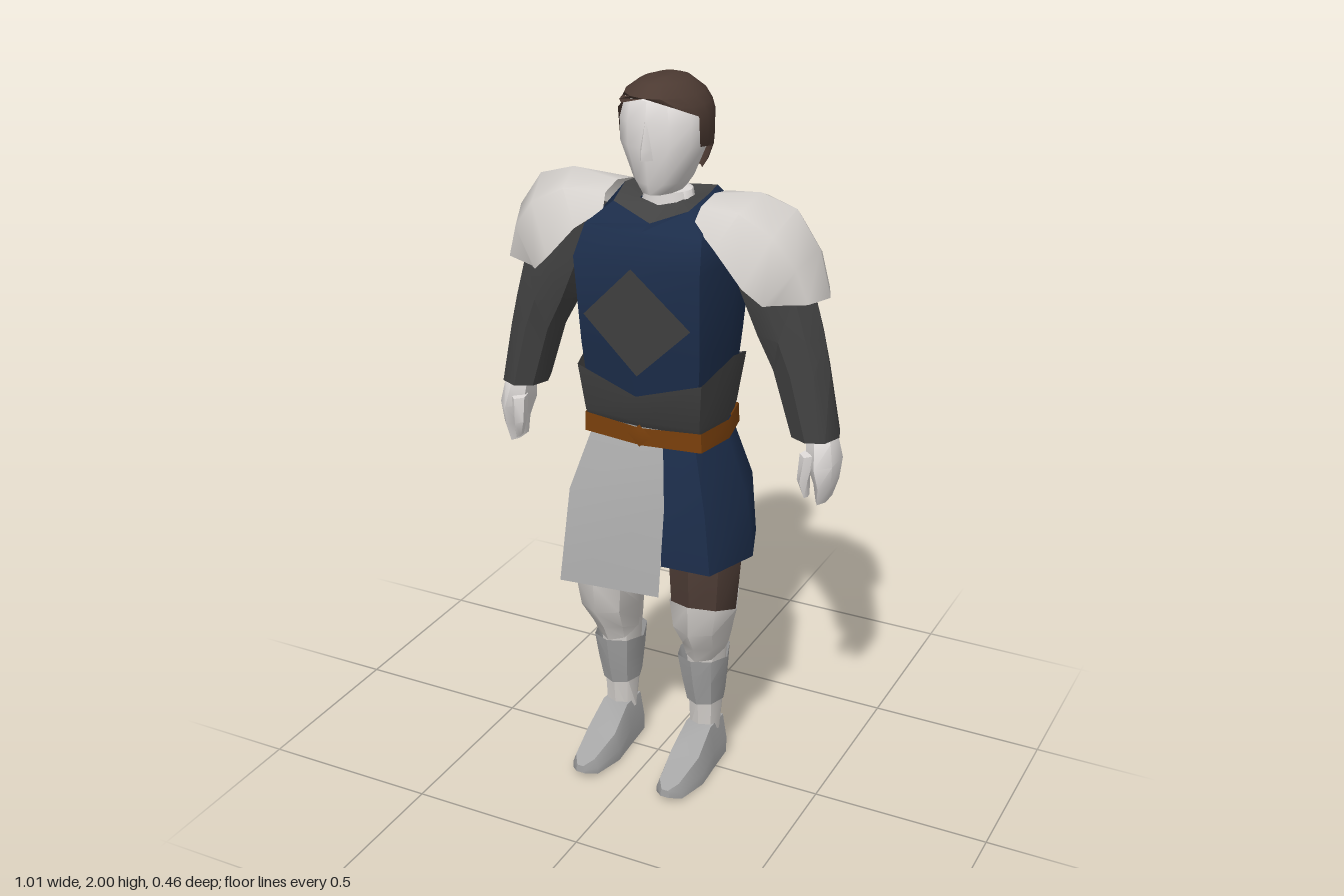
import * as THREE from 'three';
import { toCreasedNormals } from 'three/addons/utils/BufferGeometryUtils.js';

const mat = (name, color) => new THREE.MeshStandardMaterial({ name, color, side: THREE.DoubleSide });

// Skins rings of [x, y, z] points; rings rise while points run front, +x, back, -x
function loft(rings, { open = false, capEnd = false, capStart = false, crease = 0.75 } = {}) {
  const n = rings[0].length, idx = [], pos = rings.flat(2);
  for (let r = 0; r < rings.length - 1; r++) {
    for (let i = 0; i < (open ? n - 1 : n); i++) {
      const a = r * n + i, b = r * n + (i + 1) % n;
      idx.push(a, b, b + n, a, b + n, a + n);
    }
  }
  const last = (rings.length - 1) * n;
  for (let i = 1; i < n - 1; i++) {
    if (capStart) idx.push(0, i + 1, i);
    if (capEnd) idx.push(last, last + i, last + i + 1);
  }
  const g = new THREE.BufferGeometry();
  g.setAttribute('position', new THREE.Float32BufferAttribute(pos, 3));
  g.setIndex(idx);
  return toCreasedNormals(g, crease);
}

// Mirror across x = 0 and restore the winding
function mirror(geo) {
  const g = geo.clone().scale(-1, 1, 1);
  for (const key of ['position', 'normal']) {
    const a = g.attributes[key];
    for (let i = 0; i < a.count; i += 3) {
      const p = [a.getX(i + 1), a.getY(i + 1), a.getZ(i + 1)];
      a.setXYZ(i + 1, a.getX(i + 2), a.getY(i + 2), a.getZ(i + 2));
      a.setXYZ(i + 2, ...p);
    }
  }
  return g;
}

// Rounded ring; gap leaves the front open, wave lifts the front and back
function oval(y, cx, rx, zf, zb, { n = 8, gap = null, wave = 0 } = {}) {
  const a0 = gap ?? 0, count = gap === null ? n : n + 1;
  return Array.from({ length: count }, (_, i) => {
    const t = a0 + (2 * Math.PI - 2 * a0) * i / n;
    return [cx + rx * Math.sin(t), y + wave * Math.abs(Math.cos(t)),
      (zf + zb) / 2 + (zf - zb) / 2 * Math.cos(t)];
  });
}

// Eight-sided body ring; y may be [front, corner, side, back corner, back]
function body(y, w, zf, zb) {
  const ys = Array.isArray(y) ? y : Array(5).fill(y);
  const half = [[0, ys[0], zf], [w * 0.88, ys[1], zf * 0.87], [w, ys[2], (zf + zb) / 2],
    [w * 0.88, ys[3], zb * 0.87], [0, ys[4], zb]];
  return [...half, ...half.slice(1, 4).reverse().map(([x, h, z]) => [-x, h, z])];
}

// Half a skirt ring, from the split line round one side
function skirtHalf(y, side, split, w, zf, zb) {
  const p = [[split, y, zf], [side * w * 0.8, y, zf * 0.95], [side * w, y, (zf + zb) / 2],
    [side * w * 0.8, y, zb * 0.9], [split, y, zb]];
  return side > 0 ? p : p.reverse();
}

export function createModel() {
  const skin = mat('skin', 0xe2dedc), steel = mat('polished steel', 0xd4d0cc);
  const greaveGrey = mat('greave grey', 0xa6a6a6), cloth = mat('pale cloth', 0xadadad);
  const navy = mat('navy cloth', 0x1c2d4a), dark = mat('dark mail', 0x424242);
  const hairBrown = mat('hair brown', 0x4c3a32), trouser = mat('trouser brown', 0x4c3b34);
  const leather = mat('belt leather', 0x7a400c);

  const model = new THREE.Group();
  model.name = 'knight';
  const add = (name, geo, material) => {
    const m = new THREE.Mesh(geo, material);
    m.name = name;
    model.add(m);
  };
  const pair = (name, geo, material) => {
    add(name + 'Left', geo, material);
    add(name + 'Right', mirror(geo), material);
  };

  // Head, neck and nose
  add('head', loft([[1.60, 0.085, 0, -0.13], [1.70, 0.066, 0, -0.12], [1.705, 0.05, 0.05, -0.12],
    [1.735, 0.073, 0.062, -0.13], [1.83, 0.115, 0.074, -0.15], [1.89, 0.117, 0.074, -0.155],
    [1.95, 0.1, 0.066, -0.15], [1.98, 0.06, 0.02, -0.1]]
    .map(([y, w, f, b]) => oval(y, 0, w, f, b, { n: 12 })), { capEnd: true, crease: 0.9 }), skin);
  add('nose', loft([[[0, 1.805, 0.098], [0.02, 1.8, 0.062], [-0.02, 1.8, 0.062]],
    [[0, 1.83, 0.096], [0.018, 1.83, 0.066], [-0.018, 1.83, 0.066]],
    [[0, 1.9, 0.074], [0.008, 1.9, 0.066], [-0.008, 1.9, 0.066]]], { capStart: true }), skin);

  // Hair shell, open over the face
  add('hair', loft([[1.75, 0.09, 0.07, -0.152, 2.1], [1.78, 0.106, 0.08, -0.17, 1.8],
    [1.82, 0.119, 0.08, -0.18, 1.75], [1.83, 0.12, 0.08, -0.18, 1.25], [1.91, 0.123, 0.085, -0.178, 1.2],
    [1.935, 0.116, 0.085, -0.172, 0.75], [1.96, 0.1, 0.082, -0.16, 0], [1.988, 0.062, 0.045, -0.125, 0],
    [2.0, 0.025, 0.01, -0.08, 0]]
    .map(([y, w, f, b, gap]) => oval(y, 0, w, f, b, { n: 14, gap })), { open: true, capEnd: true, crease: 0.9 }), hairBrown);

  // Tunic with dipped neckline, collar and waist plate
  const neckline = [1.63, 1.675, 1.70, 1.70, 1.685];
  add('tunic', loft([body(1.13, 0.182, 0.105, -0.165), body(1.30, 0.197, 0.125, -0.185),
    body(1.54, 0.206, 0.15, -0.232), body(1.62, 0.19, 0.105, -0.205), body(neckline, 0.122, 0.05, -0.15)]), navy);
  add('collar', loft([body(neckline, 0.122, 0.05, -0.15),
    body([1.665, 1.68, 1.68, 1.675, 1.67], 0.06, 0.0, -0.11)]), dark);
  add('waistPlate', loft([body(1.08, 0.188, 0.1, -0.155), body(1.10, 0.192, 0.112, -0.162),
    body([1.18, 1.235, 1.275, 1.235, 1.18], 0.207, 0.133, -0.194)]), dark);

  // Folded diamond plate on the chest
  const dl = [-0.155, 1.385, 0.128], dr = [0.155, 1.385, 0.128];
  add('chestDiamond', loft([[dl, dl, dl], [[0, 1.54, 0.159], [0, 1.385, 0.143], [0, 1.235, 0.127]], [dr, dr, dr]],
    { open: true }), dark);

  // Belt and buckle
  add('belt', loft([body([1.03, 1.035, 1.035, 1.035, 1.03], 0.198, 0.108, -0.172),
    body([1.08, 1.09, 1.09, 1.09, 1.085], 0.196, 0.108, -0.168)]), leather);
  const bl = [-0.035, 1.06, 0.111], br = [0.035, 1.06, 0.111];
  add('buckle', loft([[bl, bl, bl], [[0, 1.092, 0.113], [0, 1.06, 0.118], [0, 1.028, 0.113]], [br, br, br]],
    { open: true }), leather);

  // Two-coloured skirt, the pale side hanging lower
  add('skirtNavy', loft([skirtHalf(0.70, 1, 0.08, 0.278, 0.145, -0.19), skirtHalf(0.87, 1, 0.08, 0.252, 0.135, -0.205),
    skirtHalf(1.05, 1, 0.06, 0.19, 0.092, -0.16)], { open: true }), navy);
  add('skirtPale', loft([
    skirtHalf(0.59, -1, 0.083, 0.285, 0.165, -0.178).map(([x, y, z]) => [x, x > 0 ? 0.615 : y, z]),
    skirtHalf(0.87, -1, 0.088, 0.255, 0.142, -0.207), skirtHalf(1.05, -1, 0.062, 0.19, 0.096, -0.162)],
  { open: true }), cloth);

  // Pauldrons: arched sections swept from the neck out over the arm
  const arches = [[0.14, 1.705, 0.13, 1.65, 0.06, -0.16], [0.27, 1.725, 0.2, 1.6, 0.09, -0.172],
    [0.37, 1.695, 0.28, 1.51, 0.095, -0.176], [0.435, 1.6, 0.33, 1.465, 0.075, -0.165],
    [0.468, 1.475, 0.35, 1.465, 0.055, -0.15]];
  pair('pauldron', loft(arches.map(([tx, ty, ex, ey, zf, zb]) => {
    const mid = (z) => [ex + (tx - ex) * 0.72, ey + (ty - ey) * 0.72, -0.04 + (z + 0.04) * 0.72];
    return [[ex, ey, zf], mid(zf), [tx, ty, -0.04], mid(zb), [ex, ey, zb]].reverse();
  }), { open: true, crease: 1.1 }), steel);

  // Sleeves and hands
  pair('sleeve', loft([[1.09, 0.438, 0.067, 0.025, -0.125], [1.27, 0.392, 0.08, 0.03, -0.13],
    [1.36, 0.358, 0.096, 0.035, -0.135], [1.48, 0.315, 0.108, 0.04, -0.135], [1.62, 0.27, 0.1, 0.03, -0.12]]
    .map(([y, x, r, f, b]) => oval(y, x, r, f, b)), { capStart: true, capEnd: true }), dark);
  pair('hand', loft([[0.907, 0.468, 0.016, 0, -0.1], [0.96, 0.474, 0.028, 0.015, -0.11],
    [1.02, 0.467, 0.042, 0.03, -0.125], [1.08, 0.458, 0.04, 0.01, -0.105], [1.1, 0.452, 0.035, 0, -0.095]]
    .map(([y, x, r, f, b]) => oval(y, x, r, f, b, { n: 6 })), { capStart: true }), skin);
  pair('thumb', loft([[0.93, 0.438, 0.007, 0.02, -0.015], [0.98, 0.431, 0.016, 0.038, -0.02],
    [1.05, 0.438, 0.022, 0.028, -0.035]]
    .map(([y, x, r, f, b]) => oval(y, x, r, f, b, { n: 5 })), { capStart: true, capEnd: true }), skin);

  // Legs: trousers, knee armour, shin, greave
  const leg = (name, rows, material) => pair(name, loft(rows.map(([y, x, r, f, b, wave = 0]) =>
    oval(y, x, r, f, b, { wave }))), material);
  leg('trouserLeg', [[0.53, 0.147, 0.094, 0.108, -0.1], [0.7, 0.15, 0.106, 0.12, -0.11],
    [0.92, 0.11, 0.108, 0.08, -0.13]], trouser);
  leg('kneeArmour', [[0.38, 0.138, 0.056, 0.045, -0.115, -0.02], [0.41, 0.142, 0.066, 0.065, -0.12],
    [0.48, 0.145, 0.085, 0.11, -0.112], [0.54, 0.147, 0.099, 0.117, -0.108, 0.035]], steel);
  leg('shin', [[0.11, 0.135, 0.045, 0.01, -0.077], [0.22, 0.135, 0.05, 0.02, -0.1],
    [0.41, 0.137, 0.058, 0.035, -0.11]], steel);
  leg('greave', [[0.21, 0.135, 0.054, 0.028, -0.107], [0.29, 0.134, 0.064, 0.05, -0.114],
    [0.36, 0.133, 0.073, 0.066, -0.116, 0.012]], greaveGrey);

  // Pointed boots, swept from heel to toe
  const sole = [[-0.076, 0.05, 0.005, 0.13], [0.012, 0.052, 0, 0.135], [0.1, 0.058, 0, 0.085],
    [0.2, 0.04, 0.008, 0.055], [0.23, 0.013, 0.02, 0.043]];
  pair('boot', loft(sole.map(([z, r, y0, y1]) => [[0.135 - r, y0, z], [0.135 + r, y0, z],
    [0.135 + r, y0 + (y1 - y0) * 0.4, z], [0.135 + r * 0.75, y1, z], [0.135 - r * 0.75, y1, z],
    [0.135 - r, y0 + (y1 - y0) * 0.4, z]]), { capStart: true, capEnd: true }), greaveGrey);

  return model;
}
